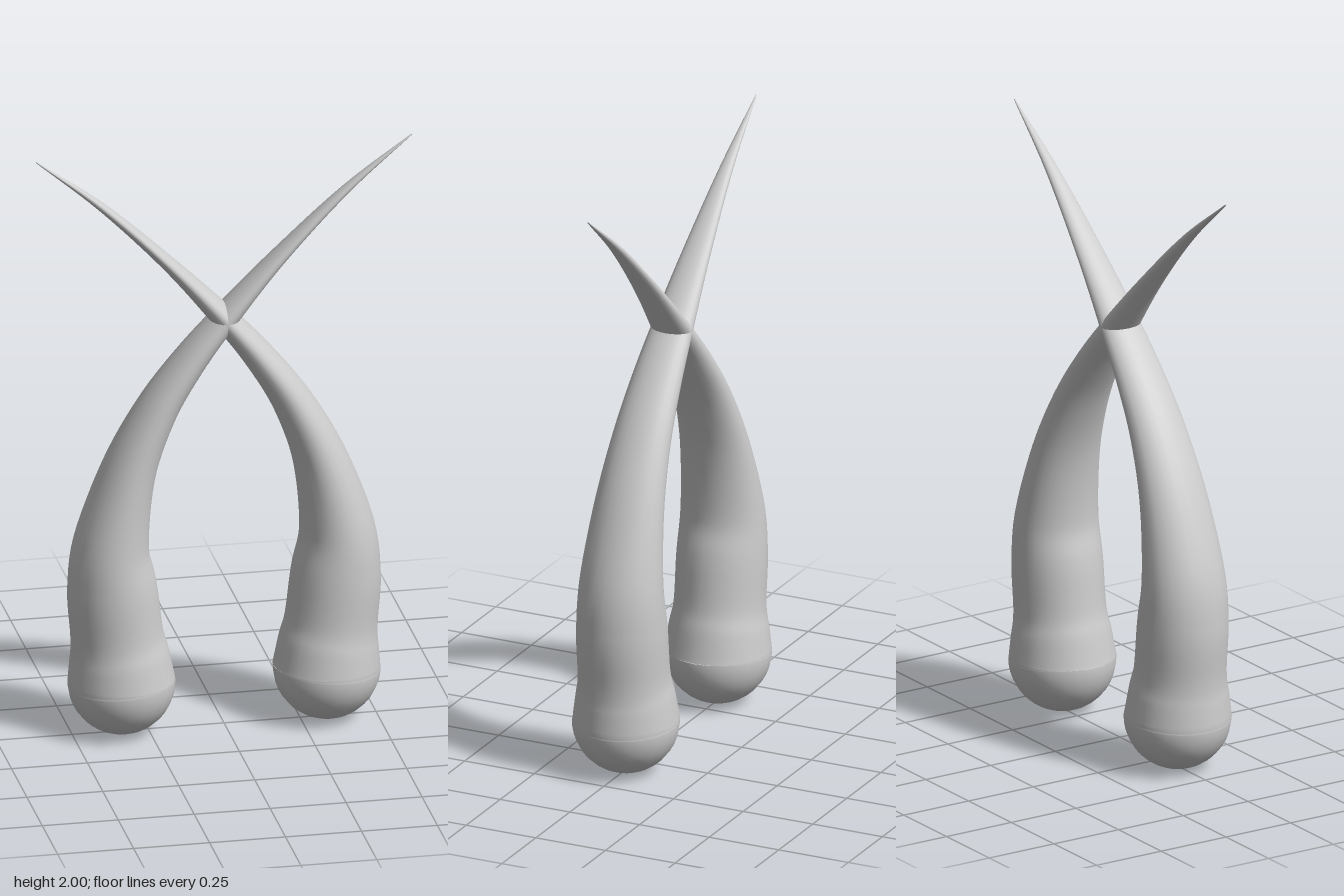
import * as THREE from 'three';

// Horn stations: centre x, centre y, in-plane half width, half depth along z
const STATIONS = [
  [0.338, 0.175, 0.175, 0.175],
  [0.344, 0.26, 0.163, 0.163],
  [0.353, 0.34, 0.151, 0.15],
  [0.368, 0.5, 0.146, 0.149],
  [0.371, 0.66, 0.122, 0.14],
  [0.315, 0.9, 0.088, 0.119],
  [0.227, 1.1, 0.066, 0.101],
  [0.122, 1.26, 0.052, 0.087],
  [0, 1.41, 0.04, 0.072],
  [-0.18, 1.61, 0.024, 0.049],
  [-0.4, 1.825, 0.014, 0.023],
  [-0.618, 2, 0.002, 0.002],
];
const SIDES = 24, STEPS = 66;

// Elliptical sections swept along a bent path in the xy plane
function hornGeometry() {
  const path = new THREE.CatmullRomCurve3(STATIONS.map(([x, y]) => new THREE.Vector3(x, y, 0)));
  const size = new THREE.CatmullRomCurve3(STATIONS.map(([, , w, d]) => new THREE.Vector3(w, d, 0)));
  path.curveType = size.curveType = 'catmullrom';
  const positions = [], index = [];
  for (let i = 0; i <= STEPS; i++) {
    const t = i / STEPS;
    const c = path.getPoint(t), s = size.getPoint(t), tan = path.getTangent(t);
    for (let j = 0; j < SIDES; j++) {
      const a = (j / SIDES) * Math.PI * 2;
      const u = Math.cos(a) * s.x;
      positions.push(c.x + tan.y * u, c.y - tan.x * u, Math.sin(a) * s.y);
      if (i === STEPS) continue;
      const k = i * SIDES + j, n = i * SIDES + ((j + 1) % SIDES);
      index.push(k, k + SIDES, n, n, k + SIDES, n + SIDES);
    }
  }
  // Close the tip
  const last = STEPS * SIDES;
  for (let j = 1; j < SIDES - 1; j++) index.push(last, last + j + 1, last + j);
  const g = new THREE.BufferGeometry();
  g.setAttribute('position', new THREE.Float32BufferAttribute(positions, 3));
  g.setIndex(index);
  g.computeVertexNormals();
  return g;
}

export function createModel() {
  const group = new THREE.Group();
  group.name = 'crossedHorns';
  const grey = new THREE.MeshStandardMaterial({ color: 0xcccccc });
  grey.name = 'grey';
  const horn = hornGeometry();
  // Rounded lower end, continuing the first horn section
  const bulb = new THREE.SphereGeometry(0.175, 24, 10, 0, Math.PI * 2, Math.PI * 0.48, Math.PI * 0.52);

  // The second horn is the first turned half way round the vertical axis
  for (const [side, angle] of [['left', 0], ['right', Math.PI]]) {
    const half = new THREE.Group();
    half.name = side + 'Half';
    const shaft = new THREE.Mesh(horn, grey);
    shaft.name = side + 'Horn';
    const foot = new THREE.Mesh(bulb, grey);
    foot.name = side + 'Bulb';
    foot.position.set(0.338, 0.175, 0);
    half.add(shaft, foot);
    half.rotation.y = angle;
    group.add(half);
  }
  return group;
}
